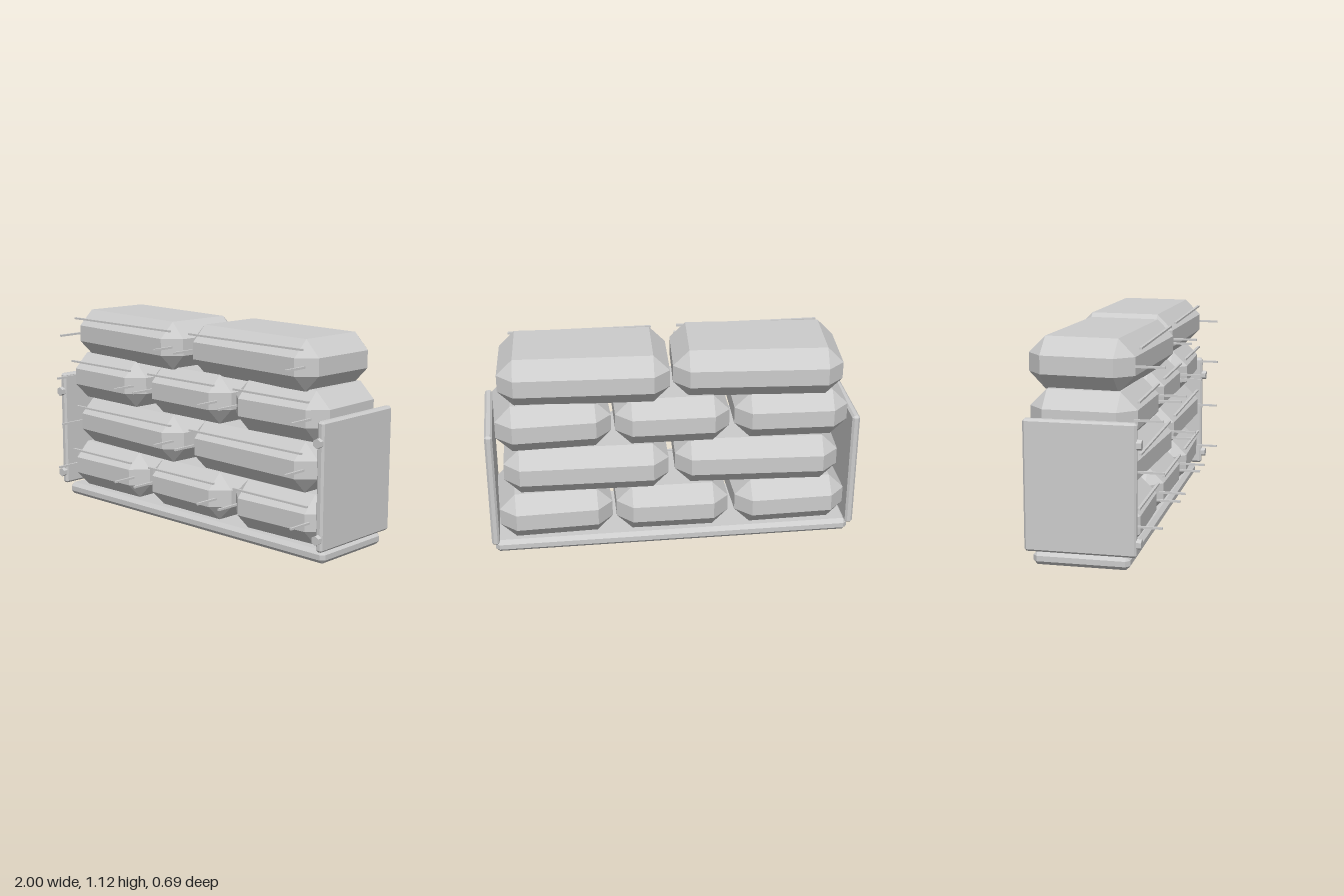
import * as THREE from 'three';
import { ConvexGeometry } from 'three/addons/geometries/ConvexGeometry.js';

const grey = new THREE.MeshStandardMaterial({ color: 0xcccccc });
grey.name = 'plain grey';

// Box with every edge cut at 45 degrees and triangular corners
function chamferBox(w, h, d, c) {
  const points = [];
  for (const x of [-1, 1]) for (const y of [-1, 1]) for (const z of [-1, 1]) {
    for (let axis = 0; axis < 3; axis++) {
      const half = [w / 2, h / 2, d / 2].map((s, i) => (i === axis ? s : s - c));
      points.push(new THREE.Vector3(x * half[0], y * half[1], z * half[2]));
    }
  }
  return new ConvexGeometry(points);
}

export function createModel() {
  const group = new THREE.Group();
  group.name = 'sandbagWall';
  const add = (name, geometry, x, y, z, turn = 0, parent = group) => {
    const mesh = new THREE.Mesh(geometry, grey);
    mesh.name = name;
    mesh.position.set(x, y, z);
    mesh.rotation.y = turn;
    parent.add(mesh);
    return mesh;
  };
  const midZ = -0.047;

  // Base plank
  add('base', chamferBox(1.96, 0.07, 0.49, 0.021), 0, 0.035, midZ);

  // End boards with hexagonal bolts on their front edges
  const board = chamferBox(0.042, 0.667, 0.566, 0.011);
  const bolt = new THREE.CylinderGeometry(0.026, 0.026, 0.026, 6).toNonIndexed();
  bolt.rotateX(Math.PI / 2);
  bolt.computeVertexNormals();
  for (const side of [-1, 1]) {
    add('endBoard', board, side * 0.977, 0.408, midZ);
    for (const y of [0.142, 0.635]) add('bolt', bolt, side * 0.977, y, 0.247);
  }

  // Staggered rows of bags: [centre x, turn]
  const rows = [
    { y: 0.203, length: 0.615, bags: [[-0.648, 0.015], [0, -0.015], [0.645, 0.03]] },
    { y: 0.469, length: 0.887, bags: [[-0.467, -0.055], [0.463, -0.025]] },
    { y: 0.735, length: 0.612, bags: [[-0.645, -0.035], [0, -0.015], [0.642, 0.03]] },
    { y: 0.99, length: 0.9, bags: [[-0.465, -0.07], [0.46, -0.045]] },
  ];
  for (const { y, length, bags } of rows) {
    const bagShape = chamferBox(length, 0.264, 0.545, 0.086);
    const span = length > 0.8 ? 0.772 : 0.49;
    const rod = new THREE.BoxGeometry(span + 0.012, 0.01, 0.014);
    const peg = new THREE.BoxGeometry(0.012, 0.011, 0.145);
    for (const [x, turn] of bags) {
      add('sandbag', bagShape, x, y, midZ, turn);
      // Seam rod and the tie pegs at its two ends
      add('seamRod', rod, x, y + 0.09, 0.226);
      for (const side of [-1, 1]) add('tiePeg', peg, x + side * span / 2, y, 0.2725);
    }
  }
  return group;
}
